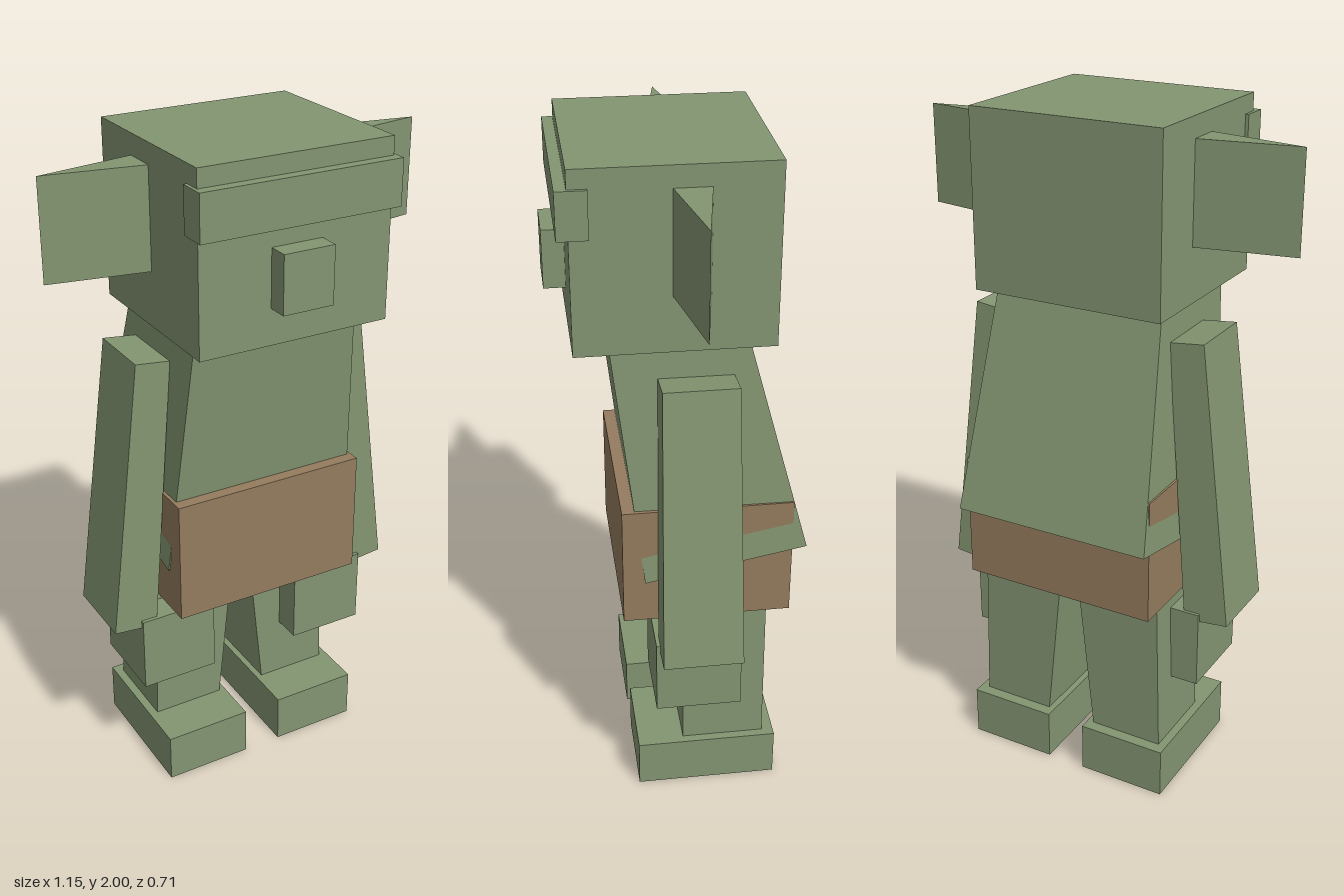
import * as THREE from 'three';

const green = new THREE.MeshStandardMaterial({ color: 0x839571, flatShading: true, name: 'mossGreen' });
const brown = new THREE.MeshStandardMaterial({ color: 0x947c5e, flatShading: true, name: 'leatherBrown' });

// Box given by its limits on each axis
function block(name, material, [x0, x1], [y0, y1], [z0, z1]) {
  const geometry = new THREE.BoxGeometry(x1 - x0, y1 - y0, z1 - z0);
  geometry.translate((x0 + x1) / 2, (y0 + y1) / 2, (z0 + z1) / 2);
  const mesh = new THREE.Mesh(geometry, material);
  mesh.name = name;
  return mesh;
}

// Box whose corners are moved by a rule: place(signX, signY, signZ) -> [x, y, z]
function shapedBlock(name, material, place) {
  const geometry = new THREE.BoxGeometry(2, 2, 2);
  const p = geometry.attributes.position;
  for (let i = 0; i < p.count; i++) p.setXYZ(i, ...place(p.getX(i), p.getY(i), p.getZ(i)));
  geometry.computeVertexNormals();
  const mesh = new THREE.Mesh(geometry, material);
  mesh.name = name;
  return mesh;
}

// Wedge-shaped ear with a vertical outer edge
function ear(name, side) {
  const outline = new THREE.Shape([
    new THREE.Vector2(side * 0.28, -0.035),
    new THREE.Vector2(side * 0.577, 0.017),
    new THREE.Vector2(side * 0.28, 0.069),
  ]);
  const geometry = new THREE.ExtrudeGeometry(outline, { depth: 0.29, bevelEnabled: false });
  geometry.rotateX(-Math.PI / 2);
  geometry.translate(0, 1.65, 0);
  const mesh = new THREE.Mesh(geometry, green);
  mesh.name = name;
  return mesh;
}

export function createModel() {
  const model = new THREE.Group();
  model.name = 'figure';

  // Head with brow and nose
  model.add(
    block('head', green, [-0.29, 0.29], [1.49, 2], [-0.248, 0.297]),
    block('brow', green, [-0.3, 0.3], [1.817, 1.948], [0.245, 0.328]),
    block('nose', green, [-0.077, 0.077], [1.595, 1.762], [0.28, 0.358]),
  );

  // Forward-leaning torso, wider and deeper at the hem
  model.add(shapedBlock('torso', green, (sx, sy, sz) => {
    if (sy > 0) return [sx * 0.25, sz > 0 ? 1.55 : 1.62, sz > 0 ? 0.207 : -0.145];
    return [sx * 0.306, sz > 0 ? 0.755 : 0.845, sz > 0 ? 0.115 : -0.355];
  }));

  // Shorts
  model.add(block('shorts', brown, [-0.3, 0.3], [0.62, 0.995], [-0.314, 0.179]));

  for (const side of [1, -1]) {
    const label = side > 0 ? 'left' : 'right';
    const span = (a, b) => (side > 0 ? [a, b] : [-b, -a]);

    model.add(ear(label + 'Ear', side));

    // Arm leaning outward, thicker at the wrist
    model.add(shapedBlock(label + 'Arm', green, (sx, sy, sz) => {
      const outer = sx * side > 0;
      if (sy > 0) return [side * (outer ? 0.366 : 0.262), outer ? 1.41 : 1.398, sz > 0 ? 0.071 : -0.138];
      return [side * (outer ? 0.47 : 0.335), outer ? 0.566 : 0.552, sz > 0 ? 0.082 : -0.151];
    }));
    model.add(block(label + 'Hand', green, span(0.145, 0.384), [0.345, 0.582], [-0.16, 0.093]));

    // Leg, narrowing slightly towards the ankle
    model.add(shapedBlock(label + 'Leg', green, (sx, sy, sz) => {
      const outer = sx * side > 0;
      const z = sz > 0 ? 0.003 : -0.246;
      return sy > 0 ? [side * (outer ? 0.29 : 0.023), 0.7, z] : [side * (outer ? 0.307 : 0.085), 0.1, z];
    }));
    model.add(block(label + 'Foot', green, span(0.06, 0.331), [0, 0.153], [-0.281, 0.143]));
  }

  return model;
}
